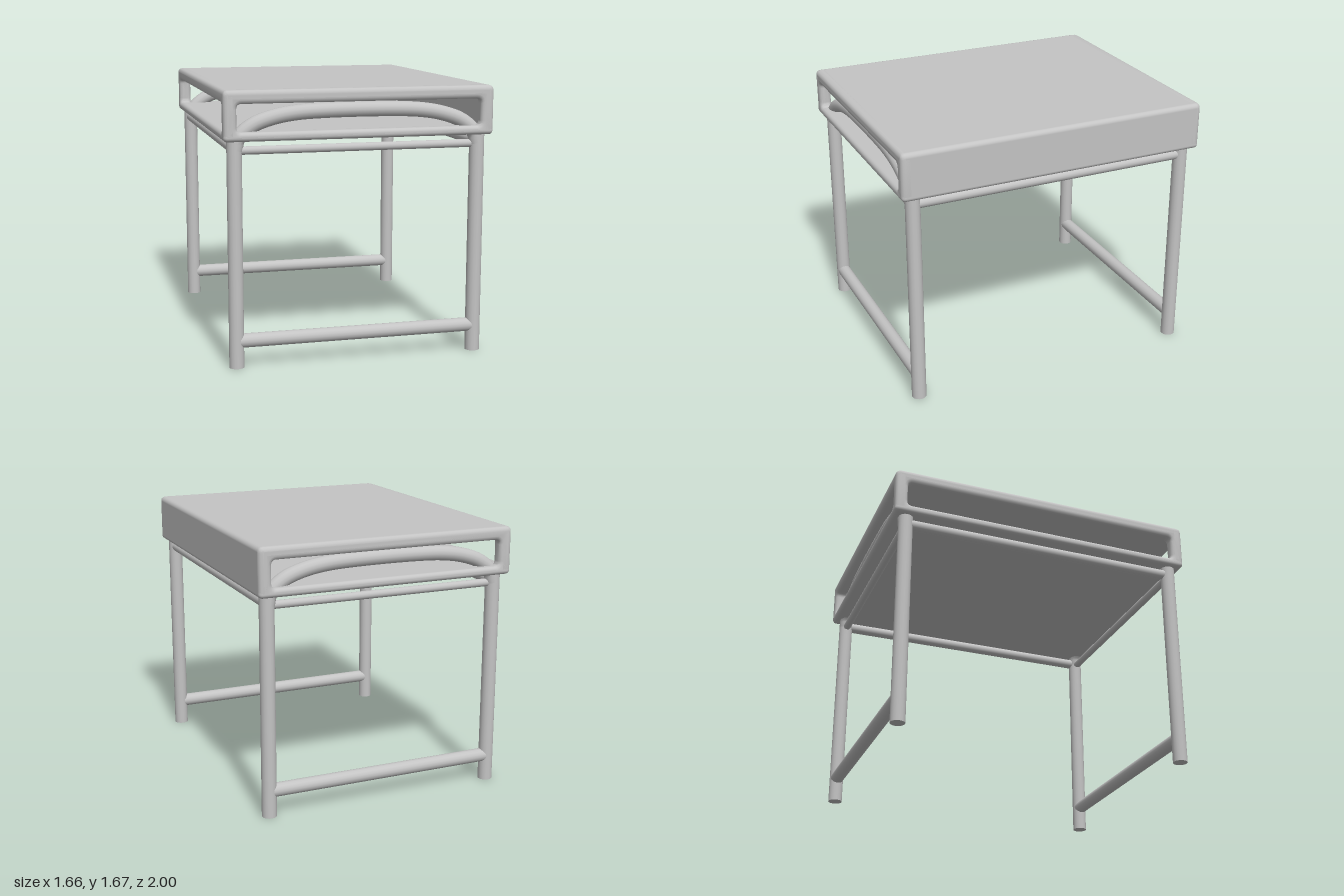
import * as THREE from 'three';
import { toCreasedNormals } from 'three/addons/utils/BufferGeometryUtils.js';
import { RoundedBoxGeometry } from 'three/addons/geometries/RoundedBoxGeometry.js';

const grey = new THREE.MeshStandardMaterial({ color: 0xc4c4c4 });
grey.name = 'plain grey';

function add(group, name, geometry, x = 0, y = 0, z = 0) {
  const mesh = new THREE.Mesh(geometry, grey);
  mesh.name = name;
  mesh.position.set(x, y, z);
  group.add(mesh);
  return mesh;
}

// Trace a rounded rectangle onto a shape or path
function roundedRect(path, x0, y0, x1, y1, r) {
  path.moveTo(x0 + r, y0);
  path.lineTo(x1 - r, y0).quadraticCurveTo(x1, y0, x1, y0 + r);
  path.lineTo(x1, y1 - r).quadraticCurveTo(x1, y1, x1 - r, y1);
  path.lineTo(x0 + r, y1).quadraticCurveTo(x0, y1, x0, y1 - r);
  path.lineTo(x0, y0 + r).quadraticCurveTo(x0, y0, x0 + r, y0);
  return path;
}

const BOTTOM = 1.375, TOP = 1.675, WALL = 0.08, BEVEL = 0.025;

// Rounded open frame around one side of the case, centred on its depth
function frameGeometry(halfWidth) {
  const shape = roundedRect(new THREE.Shape(), -halfWidth, BOTTOM, halfWidth, TOP, 0.035);
  const inner = halfWidth - WALL;
  shape.holes.push(roundedRect(new THREE.Path(), -inner, 1.43, inner, 1.595, 0.03));
  const geometry = new THREE.ExtrudeGeometry(shape, {
    depth: WALL - 2 * BEVEL, bevelThickness: BEVEL, bevelSize: BEVEL,
    bevelOffset: -BEVEL, bevelSegments: 3, curveSegments: 5,
  });
  geometry.translate(0, 0, -(WALL - 2 * BEVEL) / 2);
  return toCreasedNormals(geometry, 0.7);
}

// Horizontal round bar along x or z
function bar(group, name, axis, length, radius, x, y, z) {
  const mesh = add(group, name, new THREE.CylinderGeometry(radius, radius, length, 16), x, y, z);
  if (axis === 'x') mesh.rotation.z = Math.PI / 2;
  else mesh.rotation.x = Math.PI / 2;
}

export function createModel() {
  const model = new THREE.Group();
  model.name = 'sideTable';

  // Case: top, floor, one closed side, three open sides
  const table = new THREE.Group();
  table.name = 'case';
  model.add(table);
  add(table, 'tableTop', new RoundedBoxGeometry(1.66, 0.08, 2, 3, 0.03), 0, 1.635, 0);
  add(table, 'shelfFloor', new RoundedBoxGeometry(1.66, 0.055, 2, 3, 0.025), 0, 1.4025, 0);
  add(table, 'closedSide', new RoundedBoxGeometry(0.08, 0.3, 2, 3, 0.03), 0.79, 1.525, 0);
  add(table, 'frontFrame', frameGeometry(0.83), 0, 0, 0.96);
  add(table, 'backFrame', frameGeometry(0.83), 0, 0, -0.96);
  add(table, 'openSideFrame', frameGeometry(1), -0.79, 0, 0).rotation.y = Math.PI / 2;

  const LEG_X = 0.755, LEG_Z = 0.913;

  // Bent tube rising out of the legs and arching through the case
  const half = [[0.75, 1.32], [0.735, 1.385], [0.65, 1.46], [0.53, 1.505], [0.39, 1.53], [0.2, 1.54]];
  const points = [
    ...half.map(([x, y]) => new THREE.Vector3(-x, y, 0)),
    ...half.slice().reverse().map(([x, y]) => new THREE.Vector3(x, y, 0)),
  ];
  const arch = new THREE.TubeGeometry(new THREE.CatmullRomCurve3(points), 48, 0.046, 14);

  for (const [end, s] of [['front', 1], ['back', -1]]) {
    const frame = new THREE.Group();
    frame.name = end + 'LegFrame';
    model.add(frame);
    for (const side of [-1, 1]) {
      add(frame, 'leg', new THREE.CylinderGeometry(0.046, 0.046, 1.38, 16), side * LEG_X, 0.69, s * LEG_Z);
    }
    add(frame, 'arch', arch, 0, 0, s * LEG_Z);
    bar(frame, 'lowerStretcher', 'x', 2 * LEG_X, 0.043, 0, 0.163, s * LEG_Z);
    bar(frame, 'upperRail', 'x', 2 * LEG_X, 0.025, 0, 1.316, s * LEG_Z);
  }

  // Long rails joining the two leg frames
  for (const side of [-1, 1]) {
    bar(model, 'sideRail', 'z', 2 * LEG_Z, 0.033, side * LEG_X, 1.328, 0);
  }
  return model;
}
